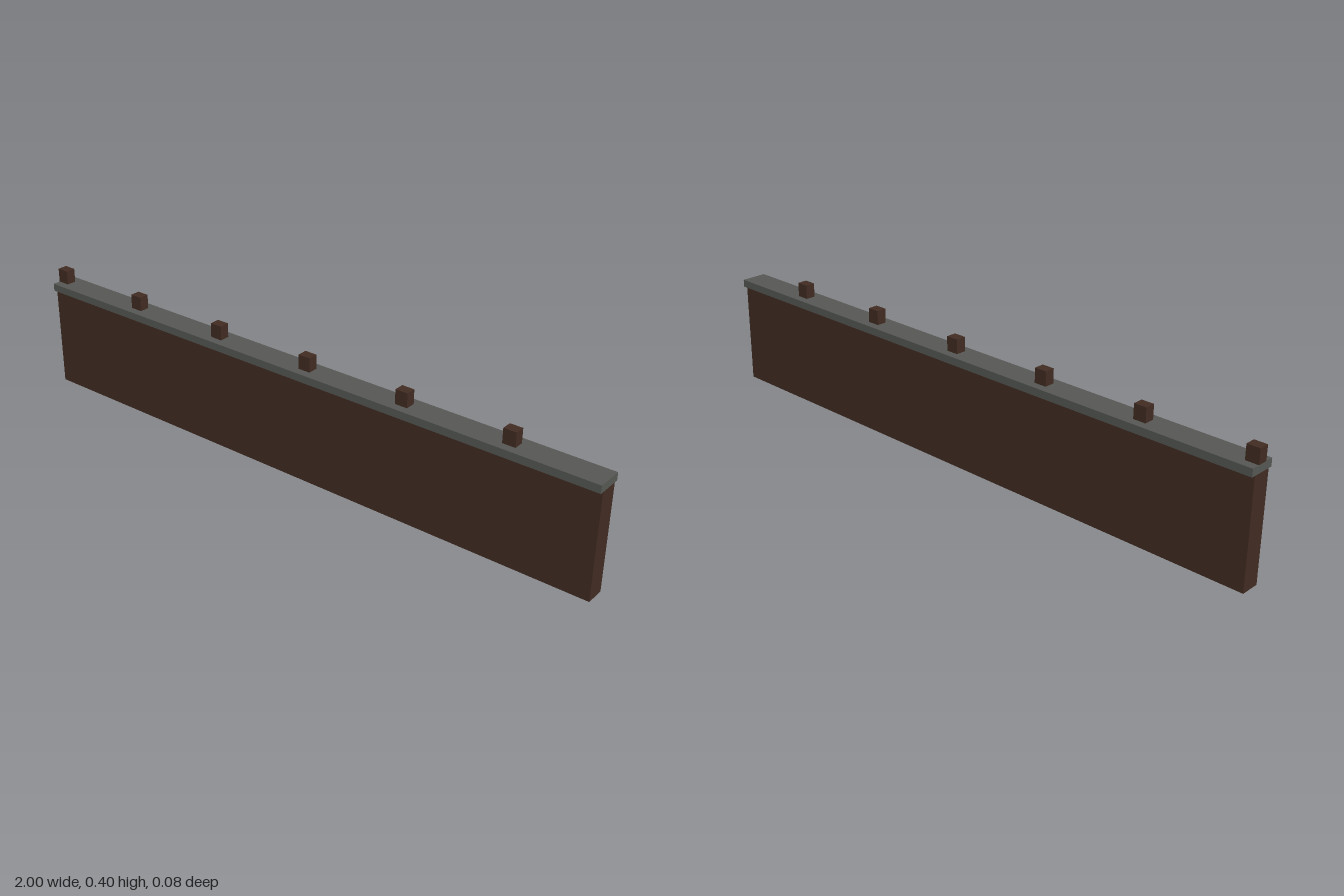
import * as THREE from 'three';

export function createModel() {
  const model = new THREE.Group();
  model.name = 'battlementWall';
  const brown = new THREE.MeshStandardMaterial({ color: 0x402b22 });
  brown.name = 'darkBrown';
  const grey = new THREE.MeshStandardMaterial({ color: 0x555753 });
  grey.name = 'stoneGrey';

  // Box spanning y0..y1, centred on x and on z = 0
  function block(name, material, x, y0, y1, width, depth) {
    const mesh = new THREE.Mesh(new THREE.BoxGeometry(width, y1 - y0, depth), material);
    mesh.name = name;
    mesh.position.set(x, (y0 + y1) / 2, 0);
    model.add(mesh);
  }

  // Wall panel and its overhanging coping
  block('wall', brown, 0, 0, 0.331, 2, 0.06);
  block('coping', grey, 0, 0.331, 0.355, 2, 0.084);

  // Row of small posts, starting flush with the right end
  for (let i = 0; i < 6; i++) {
    block('post' + (i + 1), brown, -0.98 + i * 0.34, 0.355, 0.4, 0.04, 0.032);
  }
  return model;
}
